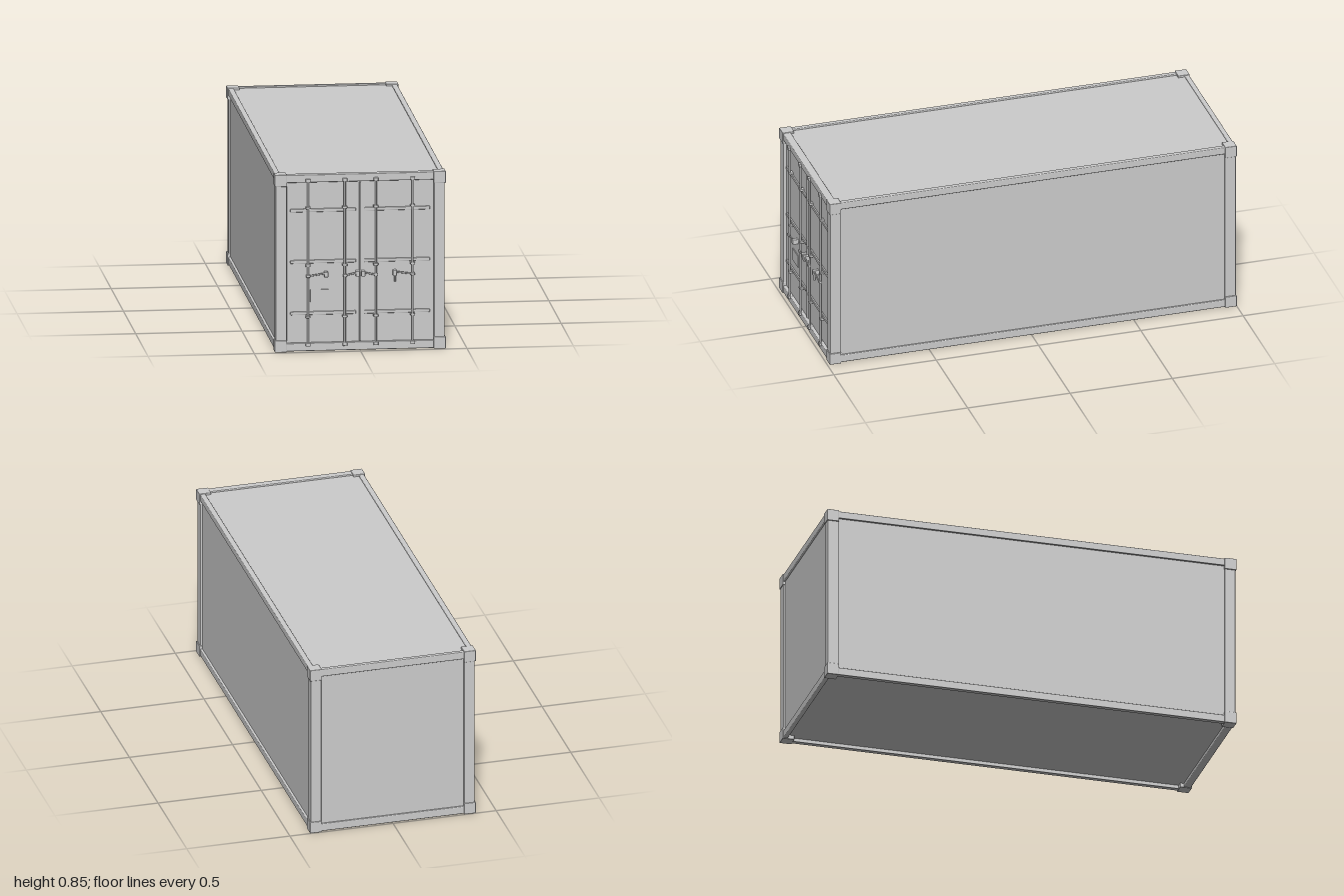
import * as THREE from 'three';
import { RoundedBoxGeometry } from 'three/addons/geometries/RoundedBoxGeometry.js';

const steel = new THREE.MeshStandardMaterial({ color: 0xcccccc });
steel.name = 'plain grey steel';

export function createModel() {
  const model = new THREE.Group();
  model.name = 'shippingContainer';

  const add = (name, geometry, parent = model) => {
    const mesh = new THREE.Mesh(geometry, steel);
    mesh.name = name;
    parent.add(mesh);
    return mesh;
  };
  // Box given by its limits on each axis, with an optional edge radius
  const span = (name, x0, x1, y0, y1, z0, z1, radius = 0, parent = model) => {
    const size = [x1 - x0, y1 - y0, z1 - z0];
    const geometry = radius
      ? new RoundedBoxGeometry(...size, 2, radius)
      : new THREE.BoxGeometry(...size);
    const mesh = add(name, geometry, parent);
    mesh.position.set((x0 + x1) / 2, (y0 + y1) / 2, (z0 + z1) / 2);
    return mesh;
  };
  // Same box on the chosen side of x = 0
  const sided = (s, name, x0, x1, ...rest) =>
    span(name, Math.min(s * x0, s * x1), Math.max(s * x0, s * x1), ...rest);

  const H = 0.848, BACK = -1, FRONT = 0.99;

  // Recessed walls, roof and floor
  span('body', -0.387, 0.387, 0.02, 0.838, -0.988, 0.968);

  // Frame: rails along the sides, posts and corner castings
  for (const s of [-1, 1]) {
    sided(s, 'bottomSideRail', 0.372, 0.397, 0.003, 0.04, -0.95, 0.945, 0.004);
    sided(s, 'topSideRail', 0.372, 0.397, 0.81, H - 0.003, -0.95, 0.945, 0.004);
    sided(s, 'frontPost', 0.346, 0.397, 0.05, 0.8, 0.935, FRONT - 0.004, 0.004);
    sided(s, 'backPost', 0.346, 0.397, 0.05, 0.8, BACK + 0.003, -0.943, 0.004);
    for (const y of [0, H - 0.057]) {
      sided(s, 'frontCorner', 0.345, 0.402, y, y + 0.057, 0.933, FRONT, 0.003);
      sided(s, 'backCorner', 0.345, 0.402, y, y + 0.057, BACK, -0.943, 0.003);
    }
  }

  // Cross rails at both ends
  for (const [y0, y1] of [[0.003, 0.041], [0.808, H - 0.003]]) {
    span('frontCrossRail', -0.35, 0.35, y0, y1, 0.95, FRONT - 0.004, 0.004);
    span('backCrossRail', -0.35, 0.35, y0, y1, BACK + 0.003, -0.975, 0.004);
  }

  // Doors with centre seal and horizontal battens
  const doors = new THREE.Group();
  doors.name = 'doors';
  model.add(doors);
  span('centreSeal', -0.004, 0.004, 0.046, 0.804, 0.965, 0.979, 0, doors);
  const battens = [[0.665, 0.681, 0.687], [0.42, 0.436, 0.411], [0.174, 0.19, 0.166]];
  for (const s of [-1, 1]) {
    sided(s, 'doorPanel', 0.005, 0.344, 0.042, 0.807, 0.96, 0.972, 0, doors);
    for (const [y0, y1] of battens)
      sided(s, 'batten', 0.02, 0.328, y0, y1, 0.97, 0.979, 0.003, doors);
  }

  // Locking bars with their keepers, guides, handles and latches
  const barZ = 0.986;
  for (const s of [-1, 1]) for (const x of [0.073, 0.246]) {
    const bar = add('lockingBar', new THREE.CylinderGeometry(0.005, 0.005, 0.785, 12), doors);
    bar.position.set(s * x, 0.427, barZ);
    for (const y of [0.034, 0.818])
      sided(s, 'barKeeper', x - 0.011, x + 0.011, y - 0.008, y + 0.008, 0.97, 0.996, 0.002, doors);
    for (const [, , y] of battens)
      sided(s, 'barGuide', x - 0.011, x + 0.011, y - 0.005, y + 0.005, 0.97, 0.992, 0.001, doors);

    // Each handle rises from its bar toward the centre
    const endX = x > 0.2 ? 0.152 : 0.004;
    const dx = endX - x, dy = 0.014;
    const handle = add('handle', new RoundedBoxGeometry(Math.hypot(dx, dy), 0.008, 0.006, 2, 0.002), doors);
    handle.position.set(s * (x + endX) / 2, 0.369, 0.993);
    handle.rotation.z = s * Math.atan2(dy, dx) + (s > 0 ? Math.PI : 0);
    sided(s, 'handleHub', x - 0.009, x + 0.009, 0.355, 0.368, 0.982, 0.996, 0.002, doors);
    const latchX = endX + 0.009;
    sided(s, 'handleLatch', latchX - 0.009, latchX + 0.009, 0.356, 0.381, 0.97, 1, 0.002, doors);
  }

  // Hanging catch and blank data plate
  span('hangingCatch', 0.158, 0.166, 0.327, 0.36, 0.985, 0.995, 0.002, doors);
  span('dataPlate', -0.234, -0.148, 0.234, 0.294, 0.97, 0.976, 0, doors);

  return model;
}
